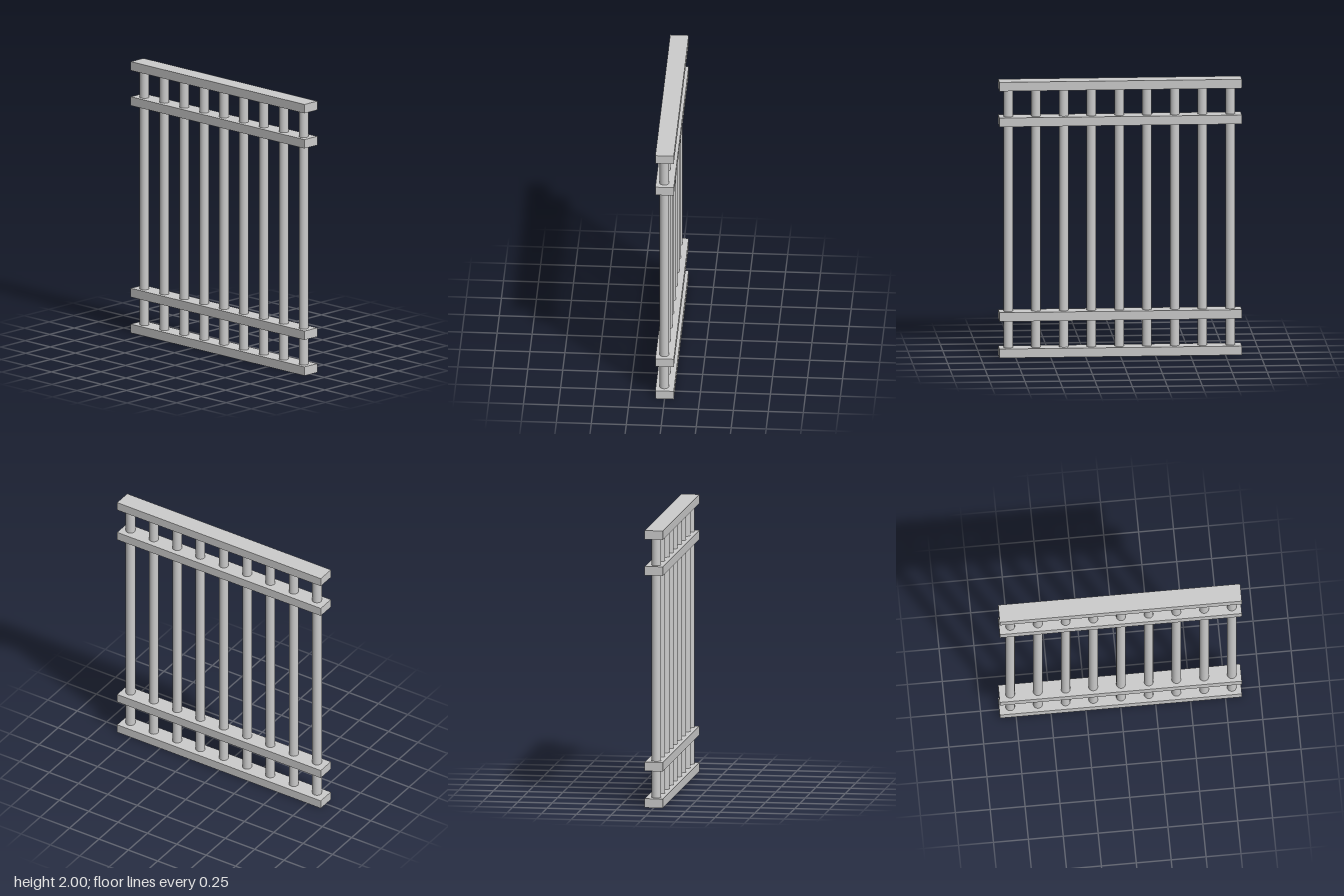
import * as THREE from 'three';

export function createModel() {
  const group = new THREE.Group();
  const material = new THREE.MeshStandardMaterial({ color: 0xcccccc });

  const add = (name, geometry, x, y, z) => {
    const mesh = new THREE.Mesh(geometry, material);
    mesh.name = name;
    mesh.position.set(x, y, z);
    group.add(mesh);
  };

  // Four horizontal rails running along z
  const railHeight = 0.065;
  const rail = new THREE.BoxGeometry(0.132, railHeight, 1.734);
  const rails = { bottomRail: 0, lowerRail: 0.264, upperRail: 1.676, topRail: 2 - railHeight };
  for (const [name, base] of Object.entries(rails)) {
    add(name, rail, 0, base + railHeight / 2, 0);
  }

  // Nine round bars, set slightly off the rail centre line
  const bar = new THREE.CylinderGeometry(0.034, 0.034, 1.92, 32);
  for (let i = -4; i <= 4; i++) {
    add(`bar${i + 5}`, bar, -0.006, 1, 0.006 + i * 0.1985);
  }

  return group;
}
